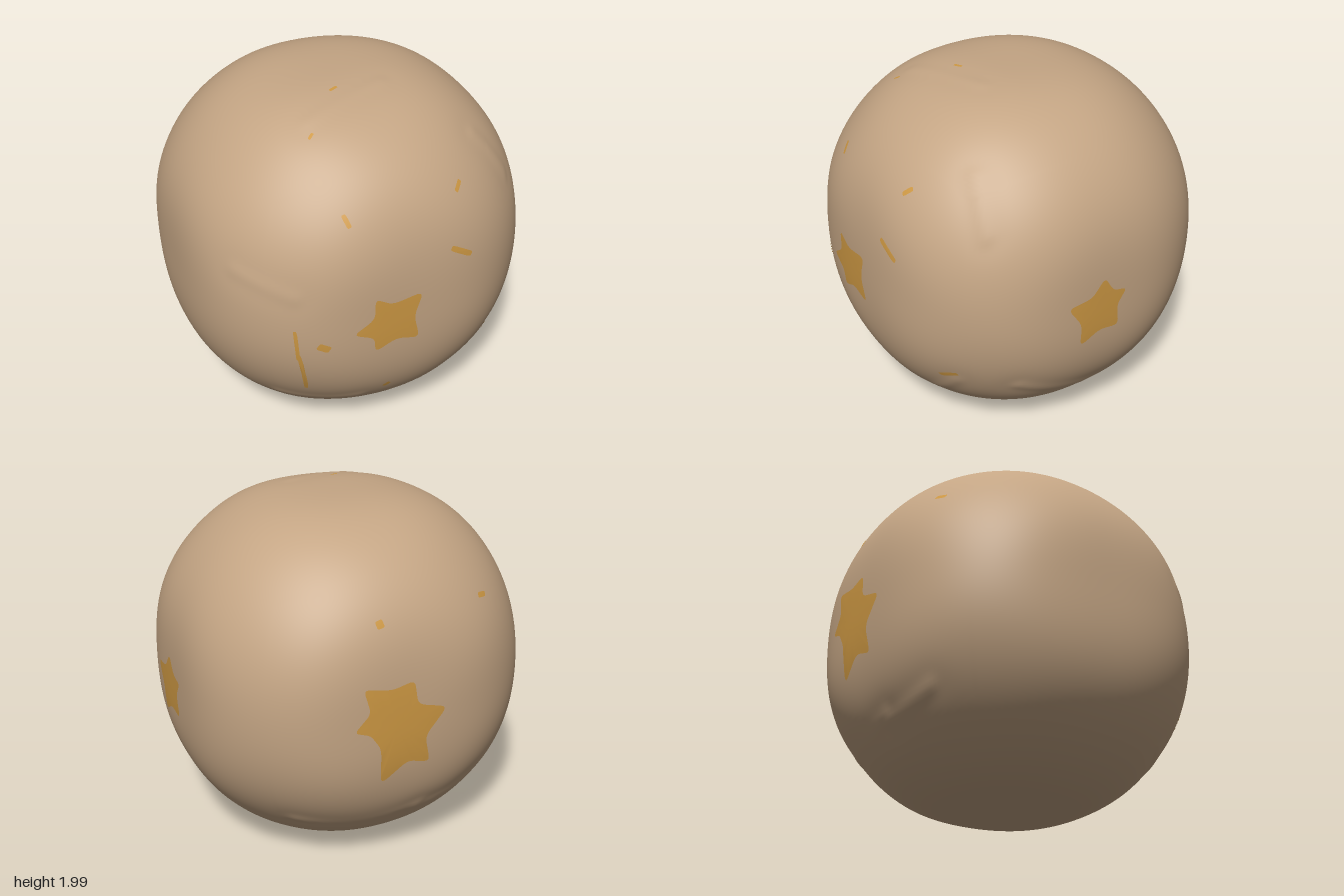
import * as THREE from 'three';
import { mergeVertices } from 'three/addons/utils/BufferGeometryUtils.js';

const R = [1.004, 1.003, 0.986]; // half sizes in x, y, z
const P = 3; // squareness of the rounded cube
const BALL = 1.088; // ball that rounds off the corners
const BLEND = 24; // sharpness of the blend between cube and ball

// Shallow folds in the skin: start, end, height
const FOLDS = [
  [[-0.62, -0.65, 0.6], [-0.2, -0.62, 0.75], 0.006],
  [[0.8, -0.5, 0.45], [0.85, -0.72, 0.02], 0.008],
  [[-0.85, 0.26, 0.6], [-0.58, 0.16, 0.8], 0.005],
  [[0.55, 0.7, 0.55], [0.72, 0.45, 0.6], 0.007],
  [[-0.35, 0.95, 0.42], [0.15, 0.95, 0.25], 0.005],
  [[0.5, -0.6, -0.6], [-0.1, -0.55, -0.75], 0.007],
  [[-0.1, -0.6, -0.75], [-0.4, -0.5, -0.7], 0.007],
  [[0.62, -0.5, 0.75], [0.38, -0.65, 0.7], 0.006],
].map(([a, b, h]) => ({
  line: new THREE.Line3(new THREE.Vector3(...a).normalize(), new THREE.Vector3(...b).normalize()), h,
}));

// Point of the skin along a direction, lifted a little
function skinPoint(dir, lift = 0) {
  const d = dir.clone().normalize();
  const sum = d.toArray().reduce((s, c, i) => s + Math.abs(c / R[i]) ** P, 0);
  let r = (sum ** (BLEND / P) + BALL ** -BLEND) ** (-1 / BLEND);
  // slightly uneven, hand-made surface
  r += 0.002 * (Math.sin(7 * d.x + 3 * d.y) * Math.sin(6 * d.y - 4 * d.z) + Math.sin(9 * d.z + 5 * d.x) * 0.5 - 0.5);
  const near = new THREE.Vector3();
  for (const { line, h } of FOLDS) {
    line.closestPointToPoint(d, true, near);
    const dist = near.distanceTo(d);
    r += h * (Math.exp(-((dist / 0.04) ** 2)) - 0.7 * Math.exp(-((dist / 0.1) ** 2)));
  }
  return d.multiplyScalar(r + lift);
}

// Closed skin from a box grid pushed onto the rounded cube
function skinGeometry(segments) {
  let geo = new THREE.BoxGeometry(2, 2, 2, segments, segments, segments);
  geo.deleteAttribute('uv');
  geo.deleteAttribute('normal');
  geo = mergeVertices(geo);
  const pos = geo.attributes.position;
  const v = new THREE.Vector3();
  for (let i = 0; i < pos.count; i++) {
    v.fromBufferAttribute(pos, i);
    v.set(...v.toArray().map((c) => Math.tan((c * Math.PI) / 4))); // even spacing
    v.copy(skinPoint(v));
    pos.setXYZ(i, v.x, v.y, v.z);
  }
  geo.computeVertexNormals();
  return geo;
}

// Sides that carry paint: axes of u, v and the outward direction
const SIDES = {
  front: { u: 0, v: 1, w: 2, sign: 1, hand: 1 },
  back: { u: 0, v: 1, w: 2, sign: -1, hand: -1 },
  left: { u: 2, v: 1, w: 0, sign: 1, hand: -1 },
  top: { u: 0, v: 2, w: 1, sign: 1, hand: -1 },
};

// Point of the skin straight above (u, v) on one side
function paintPoint(side, q) {
  const c = [0, 0, 0];
  c[side.w] = side.sign;
  for (let i = 0; i < 6; i++) {
    c[side.u] = q.x;
    c[side.v] = q.y;
    c[side.w] = skinPoint(new THREE.Vector3(...c)).getComponent(side.w);
  }
  return skinPoint(new THREE.Vector3(...c), 0.003);
}

// Thin patch with softened corners that follows the skin
function patchGeometry(sideName, corners, round = 0.3, rings = 8) {
  const side = SIDES[sideName];
  const pts = corners.map((c) => new THREE.Vector2(...c));
  const shape = new THREE.Shape();
  pts.forEach((p, i) => {
    const a = p.clone().lerp(pts[(i + pts.length - 1) % pts.length], round);
    const b = p.clone().lerp(pts[(i + 1) % pts.length], round);
    if (i) shape.lineTo(a.x, a.y);
    else shape.moveTo(a.x, a.y);
    shape.quadraticCurveTo(p.x, p.y, b.x, b.y);
  });
  shape.closePath();
  let outline = shape.getPoints(5).slice(0, -1);
  if (THREE.ShapeUtils.area(outline) * side.hand < 0) outline = outline.reverse();
  const mid = pts.reduce((s, p) => s.add(p), new THREE.Vector2()).divideScalar(pts.length);

  const positions = [];
  const index = [];
  const n = outline.length;
  for (let k = 0; k <= rings; k++) {
    for (const o of outline) positions.push(...paintPoint(side, mid.clone().lerp(o, k / rings)).toArray());
  }
  for (let k = 0; k < rings; k++) {
    for (let i = 0; i < n; i++) {
      const a = k * n + i, b = k * n + ((i + 1) % n);
      if (k) index.push(a, b + n, b);
      index.push(a, a + n, b + n);
    }
  }
  const geo = new THREE.BufferGeometry();
  geo.setAttribute('position', new THREE.Float32BufferAttribute(positions, 3));
  geo.setIndex(index);
  geo.computeVertexNormals();
  return geo;
}

// Narrow sliver between two points
function sliver(x1, y1, x2, y2, width) {
  const l = Math.hypot(x2 - x1, y2 - y1);
  const nx = (-(y2 - y1) / l) * width / 2, ny = ((x2 - x1) / l) * width / 2;
  return [[x1 + nx, y1 + ny], [x1 - nx, y1 - ny], [x2 - nx, y2 - ny], [x2 + nx, y2 + ny]];
}

export function createModel() {
  const skinMat = new THREE.MeshStandardMaterial({ color: 0xc4a584 });
  skinMat.name = 'warm tan';
  const ochre = new THREE.MeshStandardMaterial({ color: 0xcd9843 });
  ochre.name = 'ochre';

  const model = new THREE.Group();
  model.name = 'roundedBlock';
  const add = (name, geo, mat) => {
    const mesh = new THREE.Mesh(geo, mat);
    mesh.name = name;
    mesh.position.y = 1;
    model.add(mesh);
  };

  add('body', skinGeometry(64), skinMat);

  // Stars, heights measured from the middle of the body
  add('frontStar', patchGeometry('front', [
    [-0.21, 0.13], [-0.11, 0.07], [0.07, 0.1], [0.02, -0.05], [0.06, -0.21],
    [-0.08, -0.17], [-0.2, -0.23], [-0.21, -0.13], [-0.33, -0.08], [-0.21, 0]]), ochre);
  add('leftStar', patchGeometry('left', [
    [0.04, 0.14], [-0.02, 0.04], [-0.11, 0.02], [-0.05, -0.07], [-0.07, -0.21],
    [0.06, -0.19], [0.18, -0.26], [0.18, -0.11], [0.27, 0.02], [0.12, 0.04]]), ochre);
  add('backStar', patchGeometry('back', [
    [0.29, 0.22], [0.13, 0.19], [0, 0.22], [-0.02, 0.08], [-0.2, 0.03], [-0.07, -0.12],
    [-0.11, -0.29], [0.03, -0.25], [0.18, -0.37], [0.19, -0.14], [0.25, -0.05],
    [0.34, -0.02], [0.25, 0.08]], 0.25), ochre);

  // Small ochre flecks on the skin
  const flecks = [
    ['front', 0.24, 0.31, 0.37, 0.23, 0.032], ['front', -0.62, -0.03, -0.6, -0.24, 0.018],
    ['front', -0.6, -0.2, -0.53, -0.51, 0.02], ['front', -0.51, -0.13, -0.45, -0.16, 0.045],
    ['front', -0.33, 0.6, -0.31, 0.54, 0.025], ['front', 0.31, 0.58, 0.35, 0.62, 0.025],
    ['front', -0.1, -0.58, -0.07, -0.55, 0.03], ['front', 0.55, -0.46, 0.65, -0.42, 0.025],
    ['top', -0.14, 0.25, -0.09, 0.23, 0.018], ['top', -0.37, 0.5, -0.34, 0.48, 0.016],
    ['back', 0.15, 0.54, 0.19, 0.53, 0.04], ['back', -0.53, 0.54, -0.47, 0.55, 0.025],
  ];
  flecks.forEach(([side, ...line], i) =>
    add(`fleck${i + 1}`, patchGeometry(side, sliver(...line), 0.25, 3), ochre));

  return model;
}
